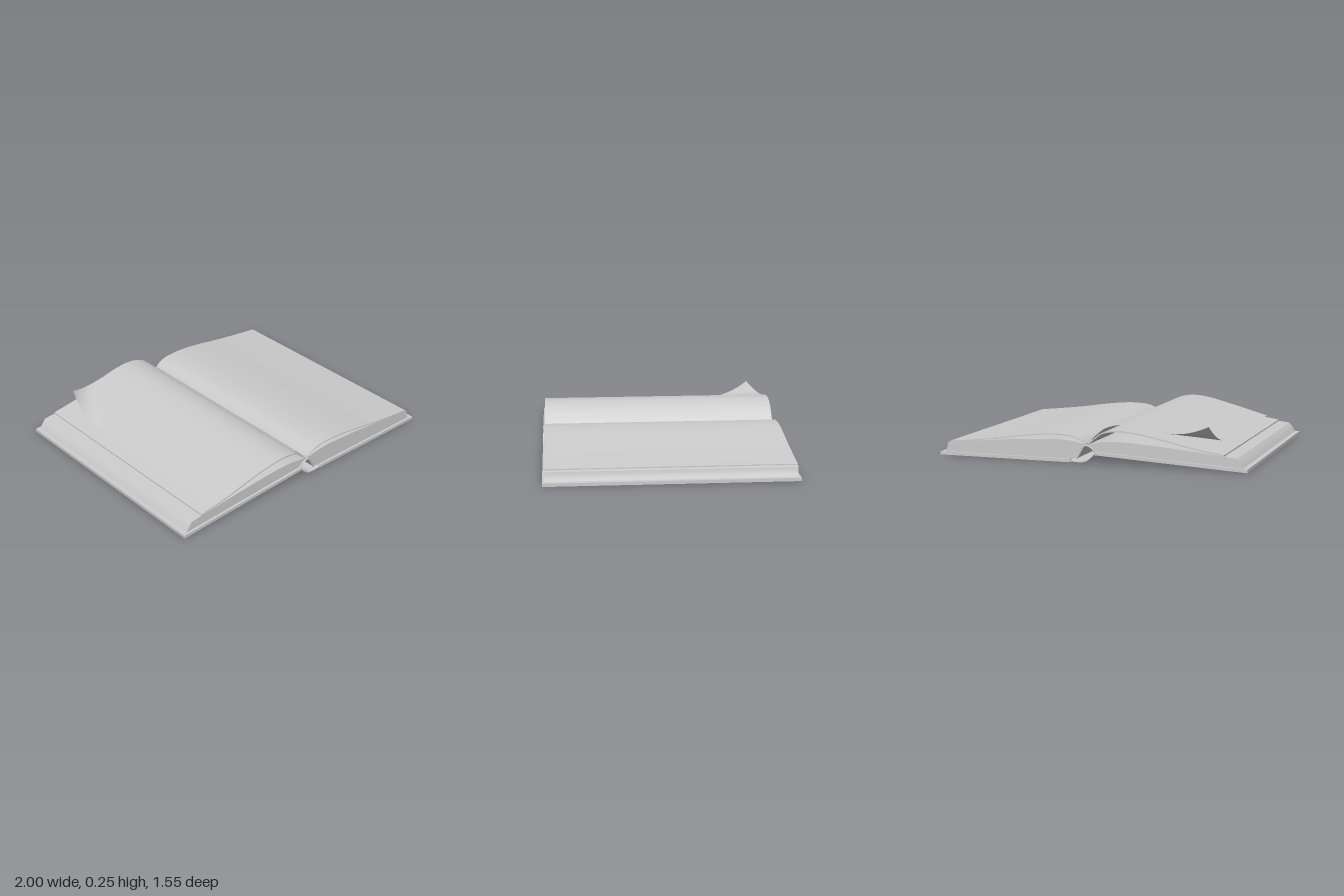
import * as THREE from 'three';
import { toCreasedNormals } from 'three/addons/utils/BufferGeometryUtils.js';

const material = new THREE.MeshStandardMaterial({ color: 0xcccccc, side: THREE.DoubleSide });
const COVER = 0.775, PAGE = 0.76; // half depths along z

const curve = (pts, n = 28) =>
  new THREE.SplineCurve(pts.map(([x, y]) => new THREE.Vector2(x, y))).getPoints(n);
const corners = (pts) => pts.map(([x, y]) => new THREE.Vector2(x, y));

function mesh(name, geometry) {
  const m = new THREE.Mesh(geometry, material);
  m.name = name;
  return m;
}

// Extrude a closed front outline symmetrically along z
function prism(name, outline, half) {
  const geo = new THREE.ExtrudeGeometry(new THREE.Shape(outline), {
    depth: half * 2, bevelEnabled: false, steps: 1,
  });
  geo.translate(0, 0, -half);
  return mesh(name, toCreasedNormals(geo, 0.5));
}

// Thin shell following a curve
function shell(name, line, thickness, half) {
  const under = line.map((p) => new THREE.Vector2(p.x, p.y - thickness)).reverse();
  return prism(name, [...line, ...under], half);
}

// Loose leaf with its rear outer corner curled up
function curledLeaf() {
  const path = new THREE.SplineCurve(corners([
    [0.005, 0.115], [-0.04, 0.165], [-0.1, 0.215], [-0.17, 0.24], [-0.25, 0.247],
    [-0.35, 0.235], [-0.46, 0.208], [-0.6, 0.17], [-0.77, 0.122],
  ]));
  const geo = new THREE.PlaneGeometry(1, 1, 50, 60);
  const pos = geo.attributes.position;
  const clamp = THREE.MathUtils.clamp;
  for (let i = 0; i < pos.count; i++) {
    const p = path.getPoint(0.5 - pos.getX(i));
    const z = -pos.getY(i) * 2 * PAGE;
    const a = clamp((-p.x - 0.4) / 0.37, 0, 1);
    const b = clamp((-z - 0.34) / 0.42, 0, 1);
    const w = Math.max(0, a + b - 1) ** 2;
    pos.setXYZ(i, p.x + 0.03 * w, p.y + 0.128 * w, z + 0.07 * w);
  }
  geo.computeVertexNormals();
  return mesh('curledLeaf', geo);
}

export function createModel() {
  const book = new THREE.Group();
  book.name = 'openBook';

  // Hard covers: the left one is tilted up toward the spine
  book.add(prism('leftCover', corners([
    [-1, 0], [-0.045, 0.053], [-0.045, 0.073], [-1, 0.02]]), COVER));
  book.add(prism('rightCover', corners([
    [0.12, 0], [1, 0], [1, 0.02], [0.12, 0.02]]), COVER));

  // Flexible spine joining the covers
  book.add(shell('spine', curve([
    [-0.045, 0.066], [-0.02, 0.04], [0.015, 0.016], [0.06, 0.009], [0.12, 0.013]], 16), 0.006, COVER));

  // Page blocks with sloping fore edges
  book.add(prism('leftPageBlock', [
    ...curve([[0.01, 0.113], [-0.05, 0.127], [-0.15, 0.139], [-0.3, 0.136],
      [-0.55, 0.118], [-0.8, 0.094], [-0.93, 0.08]]),
    ...curve([[-0.935, 0.075], [-0.955, 0.05], [-0.972, 0.022]], 6),
    ...corners([[-0.05, 0.073], [-0.025, 0.085], [0, 0.108]]),
  ], PAGE));
  book.add(prism('rightPageBlock', [
    ...curve([[0.02, 0.113], [0.06, 0.123], [0.13, 0.134], [0.22, 0.137],
      [0.45, 0.126], [0.7, 0.105], [0.94, 0.082]]),
    ...curve([[0.952, 0.078], [0.958, 0.05], [0.97, 0.02]], 6),
    ...corners([[0.11, 0.02], [0.07, 0.028], [0.045, 0.07]]),
  ], PAGE));

  // Top leaves arching above the blocks
  book.add(shell('leftLeaf', curve([
    [0.01, 0.117], [-0.03, 0.15], [-0.08, 0.188], [-0.14, 0.205], [-0.22, 0.208],
    [-0.34, 0.195], [-0.5, 0.164], [-0.68, 0.125], [-0.855, 0.097]], 36), 0.009, PAGE));
  book.add(shell('rightLeaf', curve([
    [0.02, 0.117], [0.05, 0.143], [0.1, 0.163], [0.18, 0.172], [0.28, 0.17],
    [0.42, 0.155], [0.6, 0.128], [0.78, 0.106], [0.935, 0.09]], 36), 0.008, PAGE));
  book.add(curledLeaf());

  // Gutter strip where the leaves meet
  book.add(shell('gutter', corners([[-0.01, 0.118], [0.015, 0.112], [0.035, 0.118]]), 0.008, PAGE));

  // Headbands at both ends of the spine
  for (const s of [-1, 1]) {
    const path = new THREE.CatmullRomCurve3([[-0.045, 0.072], [0, 0.106], [0.025, 0.106], [0.05, 0.07], [0.075, 0.025]]
      .map(([x, y]) => new THREE.Vector3(x, y, s * 0.763)));
    book.add(mesh(s > 0 ? 'frontHeadband' : 'rearHeadband', new THREE.TubeGeometry(path, 16, 0.006, 6)));
  }
  return book;
}
